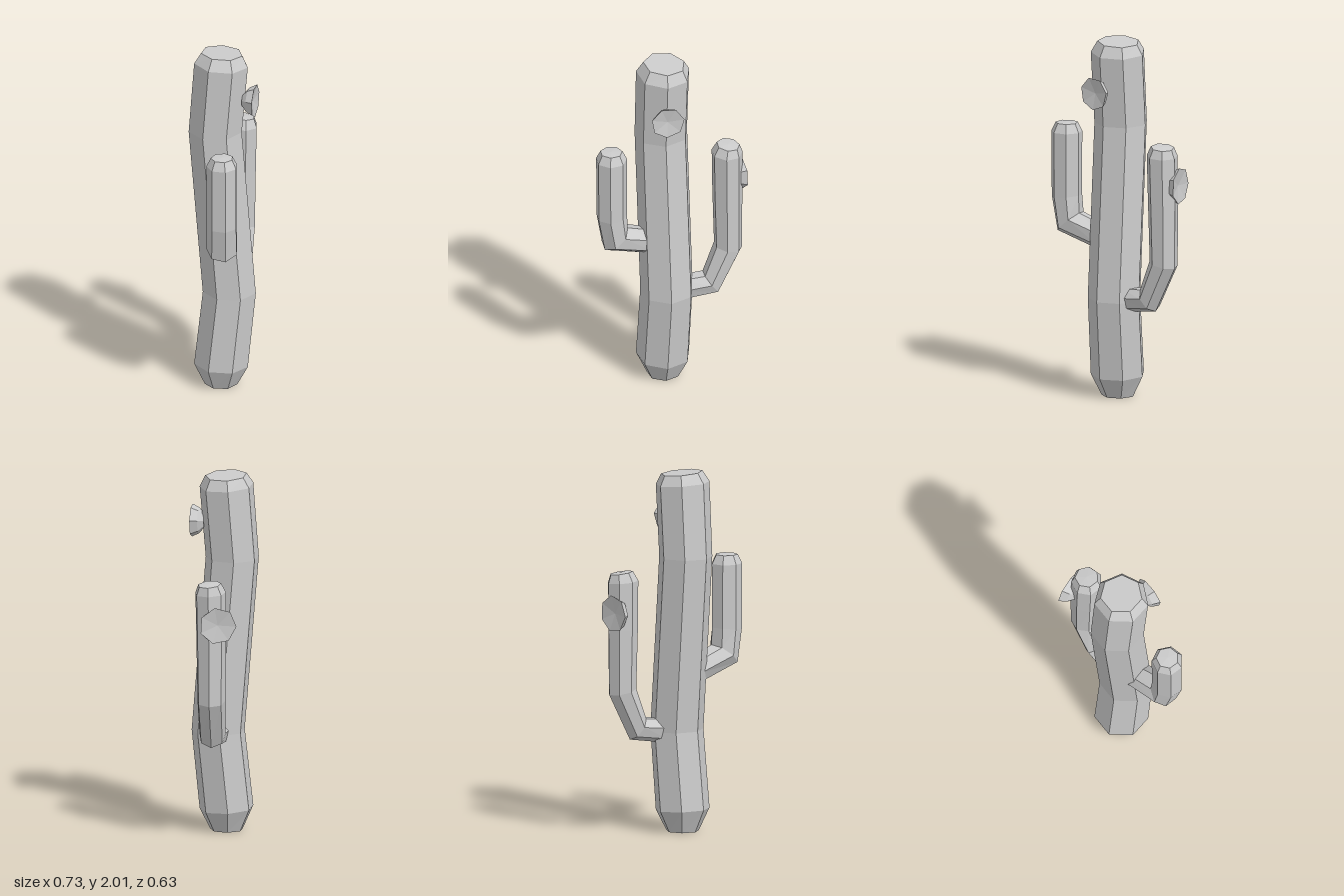
import * as THREE from 'three';

const SIDES = 7;
const UP = new THREE.Vector3(0, 1, 0);
const material = new THREE.MeshStandardMaterial({ color: 0xcccccc, flatShading: true });

// Closed seven-sided stem through rings [x, y, z, radius]; dish moves the end centre along the stem.
function stem(name, rings, turn, dish = 0) {
  const centres = rings.map(([x, y, z]) => new THREE.Vector3(x, y, z));
  const last = rings.length - 1;
  const positions = [], index = [];
  const direction = (i) => centres[i + 1].clone().sub(centres[i]).normalize();
  let tangent;
  rings.forEach((ring, i) => {
    tangent = direction(Math.min(i, last - 1)).add(direction(Math.max(i - 1, 0))).normalize();
    const q = new THREE.Quaternion().setFromUnitVectors(UP, tangent);
    for (let s = 0; s < SIDES; s++) {
      const a = THREE.MathUtils.degToRad(turn) + (s / SIDES) * Math.PI * 2;
      const p = new THREE.Vector3(Math.cos(a), 0, Math.sin(a)).multiplyScalar(ring[3]);
      positions.push(...p.applyQuaternion(q).add(centres[i]).toArray());
    }
  });
  const bottom = positions.length / 3, top = bottom + 1;
  positions.push(...centres[0].toArray());
  positions.push(...centres[last].clone().addScaledVector(tangent, dish).toArray());
  for (let s = 0; s < SIDES; s++) {
    const n = (s + 1) % SIDES;
    for (let i = 0; i < last; i++) {
      const a = i * SIDES + s, b = i * SIDES + n;
      index.push(a, a + SIDES, b, b, a + SIDES, b + SIDES);
    }
    index.push(bottom, s, n, top, last * SIDES + n, last * SIDES + s);
  }
  const geometry = new THREE.BufferGeometry();
  geometry.setAttribute('position', new THREE.Float32BufferAttribute(positions, 3));
  geometry.setIndex(index);
  geometry.computeVertexNormals();
  const mesh = new THREE.Mesh(geometry, material);
  mesh.name = name;
  return mesh;
}

// Shallow dished blossom facing along a direction
function flower(name, centre, facing, radius, turn) {
  const mesh = stem(name, [
    [0, -0.07, 0, radius * 0.4],
    [0, -0.04, 0, radius * 0.78],
    [0, 0, 0, radius],
  ], turn, -0.015);
  mesh.position.set(...centre);
  mesh.quaternion.setFromUnitVectors(UP, new THREE.Vector3(...facing).normalize());
  return mesh;
}

export function createModel() {
  const model = new THREE.Group();
  model.name = 'cactus';

  // Gently bent trunk with chamfered ends
  model.add(stem('trunk', [
    [-0.065, 0, 0, 0.092],
    [-0.065, 0.12, 0, 0.152],
    [-0.03, 0.56, 0.03, 0.15],
    [-0.085, 1.535, -0.025, 0.15],
    [-0.065, 1.94, 0, 0.152],
    [-0.06, 2, 0, 0.117],
  ], 8));

  // Low arm, reaching left and back
  model.add(stem('leftArm', [
    [0.04, 0.565, -0.02, 0.07],
    [0.175, 0.585, -0.105, 0.075],
    [0.252, 0.8, -0.163, 0.08],
    [0.25, 1.15, -0.16, 0.085],
    [0.25, 1.41, -0.155, 0.087],
    [0.257, 1.46, -0.155, 0.065],
  ], 18, 0.004));

  // High arm, reaching right and forward
  model.add(stem('rightArm', [
    [-0.12, 0.88, 0.06, 0.073],
    [-0.268, 0.955, 0.215, 0.09],
    [-0.282, 1.1, 0.23, 0.086],
    [-0.283, 1.46, 0.23, 0.087],
    [-0.283, 1.51, 0.23, 0.062],
  ], 20, 0.004));

  // Blossoms on the trunk and the left arm
  model.add(flower('trunkFlower', [0.03, 1.735, 0.172], [0.53, 0, 0.85], 0.093, 10));
  model.add(flower('armFlower', [0.292, 1.245, -0.248], [0.68, 0, -0.74], 0.103, 20));

  return model;
}
